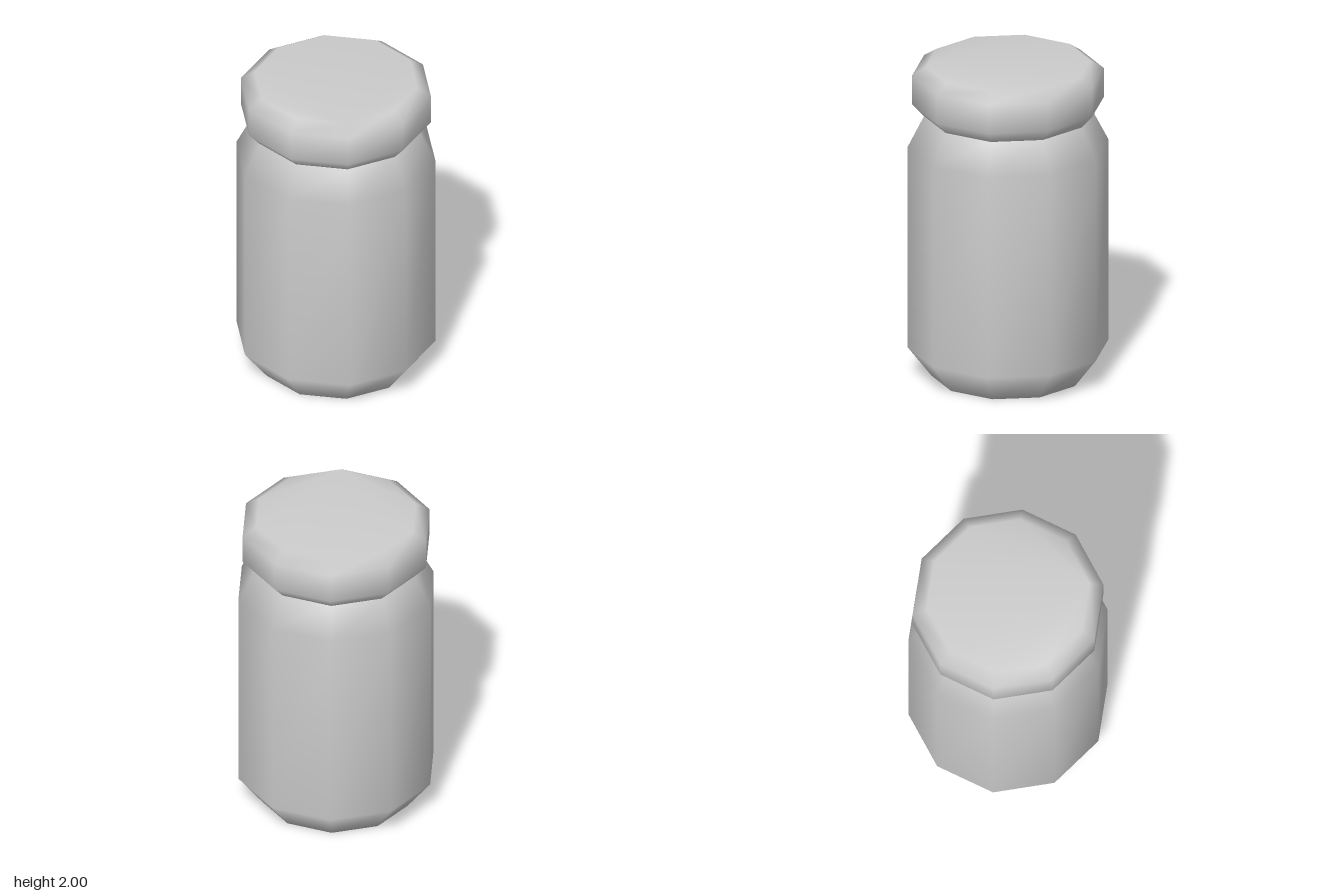
import * as THREE from 'three';

const SIDES = 10;

// Smooth ten-sided solid from [radius, height] rings, listed bottom to top
function ringSolid(rings, capBottom, capTop) {
  const positions = [];
  const index = [];
  for (const [r, y] of rings) {
    for (let i = 0; i < SIDES; i++) {
      const a = (i / SIDES) * Math.PI * 2;
      positions.push(r * Math.sin(a), y, r * Math.cos(a));
    }
  }
  for (let k = 0; k < rings.length - 1; k++) {
    for (let i = 0; i < SIDES; i++) {
      const j = (i + 1) % SIDES;
      const a = k * SIDES + i, b = k * SIDES + j;
      index.push(a, b, b + SIDES, a, b + SIDES, a + SIDES);
    }
  }
  // Flat end faces share the rim vertices, so shading rolls over the edge
  const top = (rings.length - 1) * SIDES;
  for (let i = 1; i < SIDES - 1; i++) {
    if (capBottom) index.push(0, i + 1, i);
    if (capTop) index.push(top, top + i, top + i + 1);
  }
  const geometry = new THREE.BufferGeometry();
  geometry.setAttribute('position', new THREE.Float32BufferAttribute(positions, 3));
  geometry.setIndex(index);
  geometry.computeVertexNormals();
  return geometry;
}

export function createModel() {
  const group = new THREE.Group();
  group.name = 'jar';
  const grey = new THREE.MeshStandardMaterial({ color: 0xcccccc });
  grey.name = 'light grey';

  // Body: chamfered foot, straight wall, sloping shoulder
  const body = new THREE.Mesh(
    ringSolid([[0.465, 0], [0.611, 0.19], [0.611, 1.485], [0.511, 1.68]], true, false), grey);
  body.name = 'jarBody';

  // Lid: chamfered above and below
  const lid = new THREE.Mesh(
    ringSolid([[0.511, 1.68], [0.584, 1.76], [0.584, 1.945], [0.5, 2]], false, true), grey);
  lid.name = 'lid';

  group.add(body, lid);
  return group;
}
